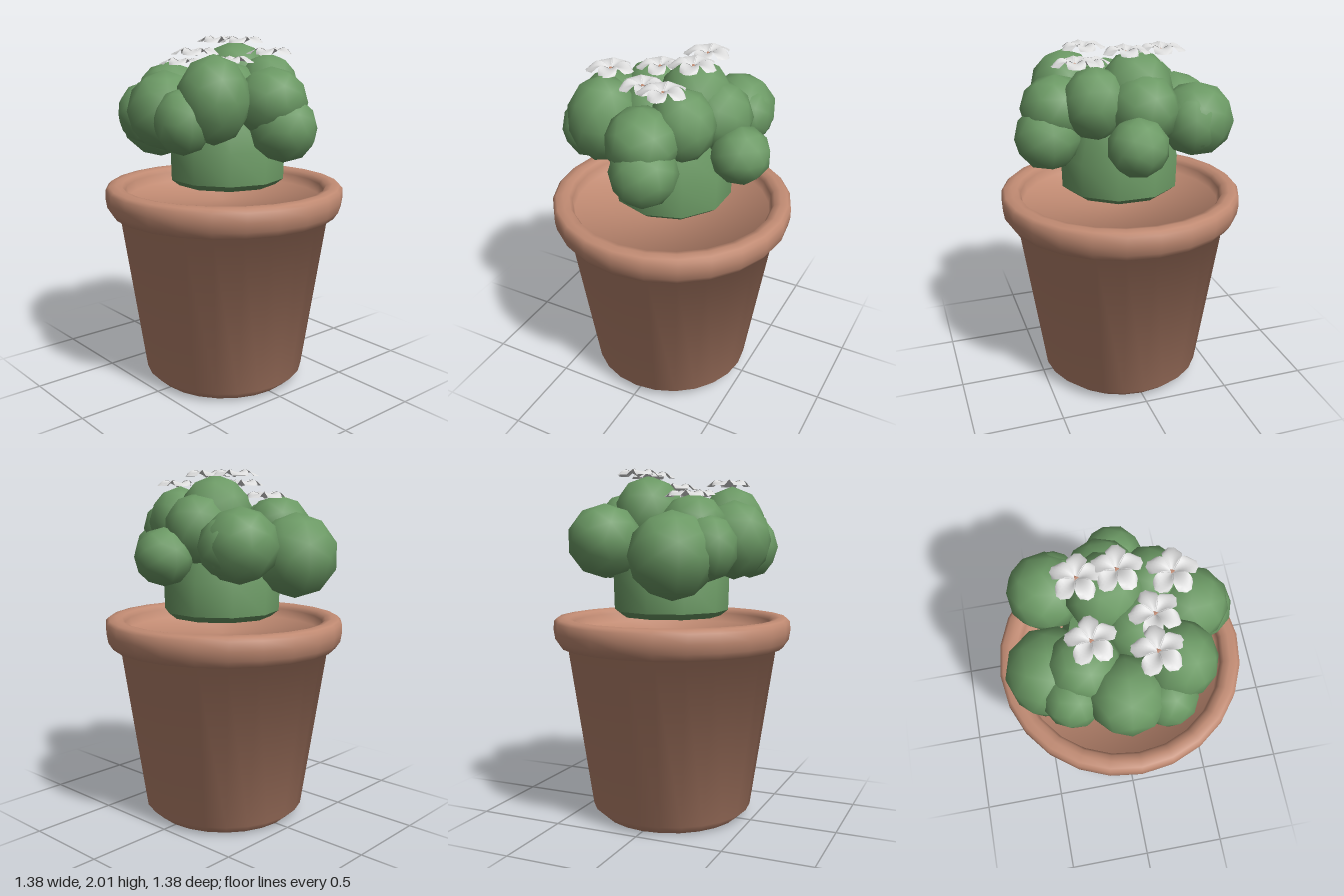
import * as THREE from 'three';
import { mergeVertices, toCreasedNormals } from 'three/addons/utils/BufferGeometryUtils.js';

const V = (x, y) => new THREE.Vector2(x, y);

// Low-poly ball with smooth normals
function ballGeometry() {
  let g = new THREE.IcosahedronGeometry(1, 1);
  g.deleteAttribute('normal');
  g.deleteAttribute('uv');
  g = mergeVertices(g, 1e-4);
  g.computeVertexNormals();
  return g;
}

// Lathe whose normals are the even average of the neighbouring profile segments
function smoothLathe(profile, sides) {
  const g = new THREE.LatheGeometry(profile, sides);
  const n = profile.length;
  const segment = (j) => {
    const d = profile[j + 1].clone().sub(profile[j]).normalize();
    return V(d.y, -d.x);
  };
  for (let j = 0; j < n; j++) {
    const normal = V(0, 0);
    if (j > 0) normal.add(segment(j - 1));
    if (j < n - 1) normal.add(segment(j));
    normal.normalize();
    for (let i = 0; i <= sides; i++) {
      const a = (i / sides) * Math.PI * 2;
      g.attributes.normal.setXYZ(i * n + j, normal.x * Math.sin(a), normal.y, normal.x * Math.cos(a));
    }
  }
  return g;
}

// Cupped petal pointing along +z, with a ragged drooping tip
function petalGeometry() {
  const g = new THREE.PlaneGeometry(2, 1, 6, 8);
  const p = g.attributes.position;
  for (let i = 0; i < p.count; i++) {
    const v = p.getX(i);
    const u = 0.5 - p.getY(i);
    const width = 0.006 + 0.044 * Math.sin(Math.pow(u, 1.2) * 2.1);
    const notch = u > 0.9 && Math.round(v * 3) % 2 === 0 ? 0.005 : 0;
    const length = u * (0.136 - 0.03 * v * v) - notch;
    const height = 0.026 * Math.sin(u * 2.9) + 0.014 * v * v * Math.sin(u * Math.PI);
    p.setXYZ(i, v * width, height, length);
  }
  g.computeVertexNormals();
  return g;
}

export function createModel() {
  const model = new THREE.Group();
  model.name = 'pottedCactus';

  const terracotta = new THREE.MeshStandardMaterial({ color: 0xc08a72 });
  terracotta.name = 'terracotta';
  const green = new THREE.MeshStandardMaterial({ color: 0x6c9a65 });
  green.name = 'cactusGreen';
  const white = new THREE.MeshStandardMaterial({ color: 0xdcdcdc, side: THREE.DoubleSide });
  white.name = 'petalWhite';

  const add = (parent, name, geometry, material) => {
    const mesh = new THREE.Mesh(geometry, material);
    mesh.name = name;
    parent.add(mesh);
    return mesh;
  };

  // Pot: tapered wall, rolled rim and shallow filled inside
  const potProfile = [
    V(0, 0), V(0.41, 0), V(0.47, 0.055), V(0.61, 1.0),
    V(0.655, 1.01), V(0.682, 1.05), V(0.69, 1.1), V(0.688, 1.155), V(0.67, 1.172),
    V(0.63, 1.178), V(0.595, 1.17), V(0.578, 1.145), V(0.568, 1.09), V(0, 1.07),
  ];
  add(model, 'pot', smoothLathe(potProfile, 24), terracotta);

  // Cactus trunk
  const cactus = new THREE.Group();
  cactus.name = 'cactus';
  model.add(cactus);
  const trunkProfile = [
    V(0, 1.18), V(0.29, 1.18), V(0.335, 1.215), V(0.34, 1.4), V(0.28, 1.58), V(0, 1.68),
  ];
  const trunk = add(cactus, 'trunk', toCreasedNormals(new THREE.LatheGeometry(trunkProfile, 10), 0.8), green);
  trunk.position.set(0.01, 0, 0.01);

  // Round lobes: x, y, z, radius, height radius
  const lobes = [
    [-0.17, 1.54, -0.39, 0.24, 0.24],
    [-0.34, 1.58, -0.30, 0.16, 0.18],
    [0.25, 1.615, -0.35, 0.21, 0.205],
    [0.31, 1.61, -0.31, 0.155, 0.17],
    [-0.39, 1.62, -0.03, 0.21, 0.22],
    [-0.42, 1.58, 0.17, 0.16, 0.18],
    [-0.28, 1.69, 0.25, 0.20, 0.24],
    [0.02, 1.67, 0.37, 0.20, 0.19],
    [0.06, 1.53, 0.43, 0.185, 0.185],
    [0.43, 1.545, 0.04, 0.165, 0.16],
    [0.25, 1.69, -0.05, 0.195, 0.2],
    [0.12, 1.75, -0.05, 0.21, 0.235],
    [0.16, 1.72, 0.19, 0.18, 0.2],
    [-0.22, 1.69, -0.22, 0.19, 0.18],
    [-0.06, 1.68, 0.1, 0.2, 0.2],
  ];
  const ball = ballGeometry();
  lobes.forEach(([x, y, z, r, h], i) => {
    const lobe = add(cactus, 'lobe' + (i + 1), ball, green);
    lobe.position.set(x, y, z);
    lobe.scale.set(r, h, r);
    lobe.rotation.y = i * 1.3;
  });

  // Flowers: x, y, z, turn
  const flowers = [
    [-0.165, 1.85, -0.17, 0.3], [0.12, 1.968, -0.19, 0.1], [0.13, 1.968, 0.01, 0.2],
    [-0.30, 1.918, 0.13, 0.35], [-0.09, 1.87, 0.16, 0.6], [0.095, 1.914, 0.28, 0.15],
  ];
  const petal = petalGeometry();
  const centre = new THREE.ConeGeometry(0.015, 0.008, 3);
  for (const [x, y, z, turn] of flowers) {
    const flower = new THREE.Group();
    flower.name = 'flower';
    flower.position.set(x, y, z);
    for (let i = 0; i < 5; i++) {
      add(flower, 'petal', petal, white).rotation.y = turn + (i * Math.PI * 2) / 5;
    }
    add(flower, 'flowerCentre', centre, terracotta).position.y = 0.014;
    model.add(flower);
  }
  return model;
}
